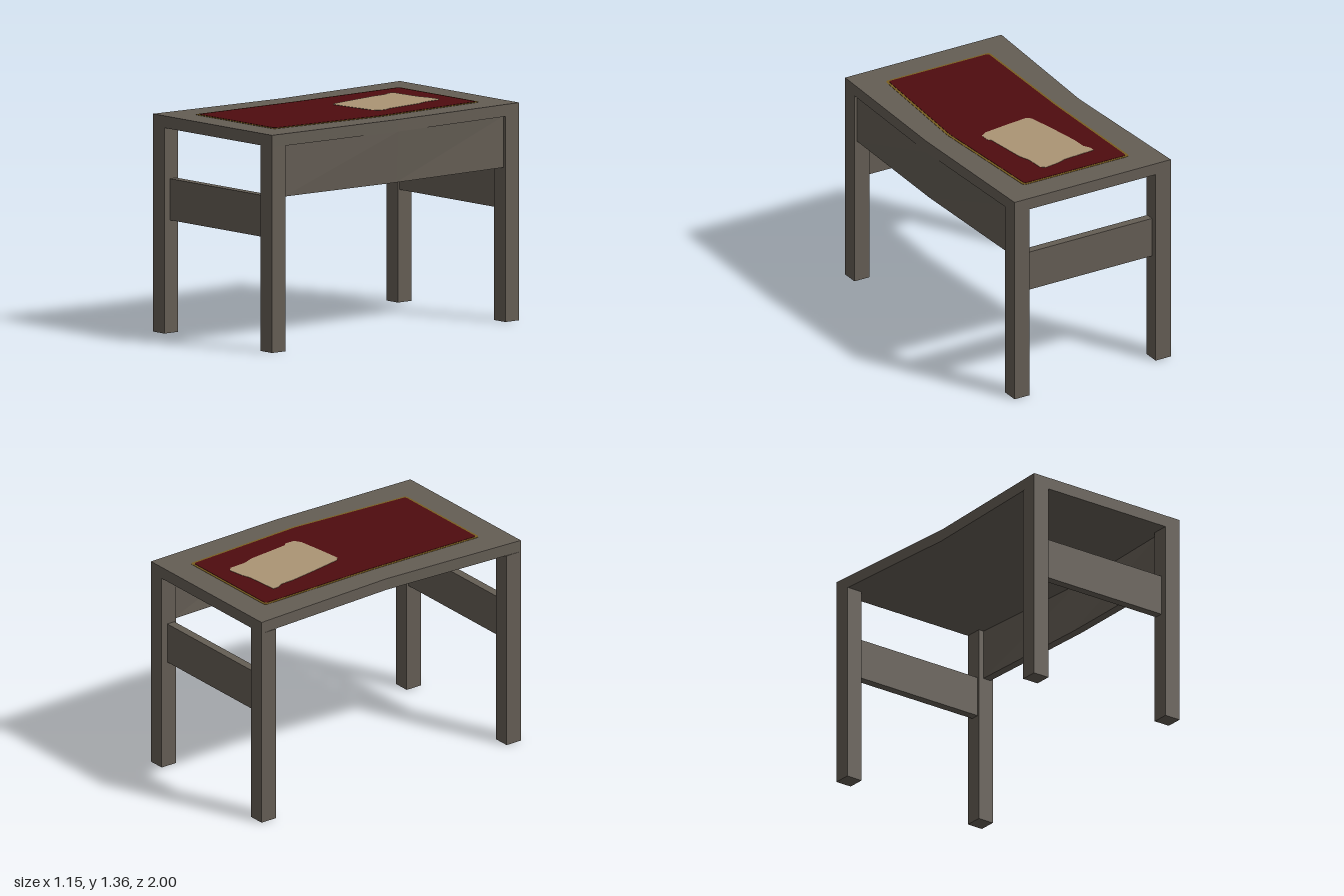
import * as THREE from 'three';

const mat = (name, color) => {
  const m = new THREE.MeshStandardMaterial({ color });
  m.name = name;
  return m;
};

export function createModel() {
  const wood = mat('greyWood', 0x645d54);
  const leather = mat('redLeather', 0x4e0c0f);
  const trim = mat('goldTrim', 0x785d20);
  const parchment = mat('parchment', 0xab9474);

  const desk = new THREE.Group();
  desk.name = 'desk';

  const add = (name, geometry, material) => {
    const mesh = new THREE.Mesh(geometry, material);
    mesh.name = name;
    desk.add(mesh);
    return mesh;
  };

  // Box given by its min and max corners
  const box = (name, [x0, y0, z0], [x1, y1, z1]) =>
    add(name, new THREE.BoxGeometry(x1 - x0, y1 - y0, z1 - z0), wood)
      .position.set((x0 + x1) / 2, (y0 + y1) / 2, (z0 + z1) / 2);

  // Horizontal plate from an (x, z) outline, with corners optionally rounded by r
  const plate = (name, points, yTop, thickness, material, r = 0) => {
    const pts = points.map(([x, z]) => new THREE.Vector2(x, z));
    const shape = new THREE.Shape();
    pts.forEach((p, i) => {
      const prev = pts[(i + pts.length - 1) % pts.length];
      const next = pts[(i + 1) % pts.length];
      const a = p.clone().add(prev.clone().sub(p).setLength(r));
      const b = p.clone().add(next.clone().sub(p).setLength(r));
      if (i === 0) shape.moveTo(a.x, a.y);
      else shape.lineTo(a.x, a.y);
      if (r > 0) shape.quadraticCurveTo(p.x, p.y, b.x, b.y);
    });
    shape.closePath();
    const g = new THREE.ExtrudeGeometry(shape, { depth: thickness, bevelEnabled: false, curveSegments: 4 });
    g.rotateX(Math.PI / 2);
    add(name, g, material).position.y = yTop;
  };

  // Crooked table top, bent at mid length
  plate('tableTop', [
    [-0.578, -1], [0.548, -1], [0.575, 0], [0.548, 1], [-0.578, 1], [-0.528, 0],
  ], 1.355, 0.075, wood);

  // Legs and end stretchers
  for (const s of [-1, 1]) {
    const end = s < 0 ? 'back' : 'front';
    const z0 = s < 0 ? -1 : 0.89;
    box(end + 'RightLeg', [-0.578, 0, z0], [-0.468, 1.28, z0 + 0.11]);
    box(end + 'LeftLeg', [0.44, 0, z0], [0.548, 1.28, z0 + 0.11]);
    const zs = s < 0 ? -0.957 : 0.902;
    box(end + 'Stretcher', [-0.468, 0.702, zs], [0.44, 0.96, zs + 0.055]);
  }

  // Side panel, bowed outward in the middle and more so along its top edge
  let panel = new THREE.BoxGeometry(0.055, 0.32, 1.78, 1, 1, 2);
  const pos = panel.attributes.position;
  for (let i = 0; i < pos.count; i++) {
    const t = 1 - Math.abs(pos.getZ(i)) / 0.89;
    pos.setX(i, pos.getX(i) + t * (pos.getY(i) > 0 ? 0.044 : 0.022));
  }
  panel = panel.toNonIndexed();
  panel.computeVertexNormals();
  add('sidePanel', panel, wood).position.set(0.5025, 1.12, 0);

  // Writing surface with its trim
  plate('matTrim', [
    [-0.387, -0.828], [0.377, -0.828], [0.423, 0], [0.365, 0.828], [-0.385, 0.828], [-0.371, 0],
  ], 1.357, 0.003, trim, 0.025);
  plate('writingMat', [
    [-0.37, -0.812], [0.361, -0.812], [0.406, 0], [0.35, 0.812], [-0.369, 0.812], [-0.356, 0],
  ], 1.359, 0.003, leather, 0.02);

  // Worn sheet of parchment
  plate('parchmentSheet', [
    [-0.236, -0.65], [-0.02, -0.665], [0.04, -0.685], [0.14, -0.7], [0.168, -0.675], [0.175, -0.56],
    [0.2, -0.49], [0.232, -0.21], [0.25, -0.19], [0.25, -0.125], [0.205, -0.098], [0.03, -0.075],
    [-0.11, -0.06], [-0.136, -0.085], [-0.175, -0.29], [-0.205, -0.47], [-0.21, -0.57], [-0.234, -0.61],
  ], 1.361, 0.003, parchment);

  return desk;
}
